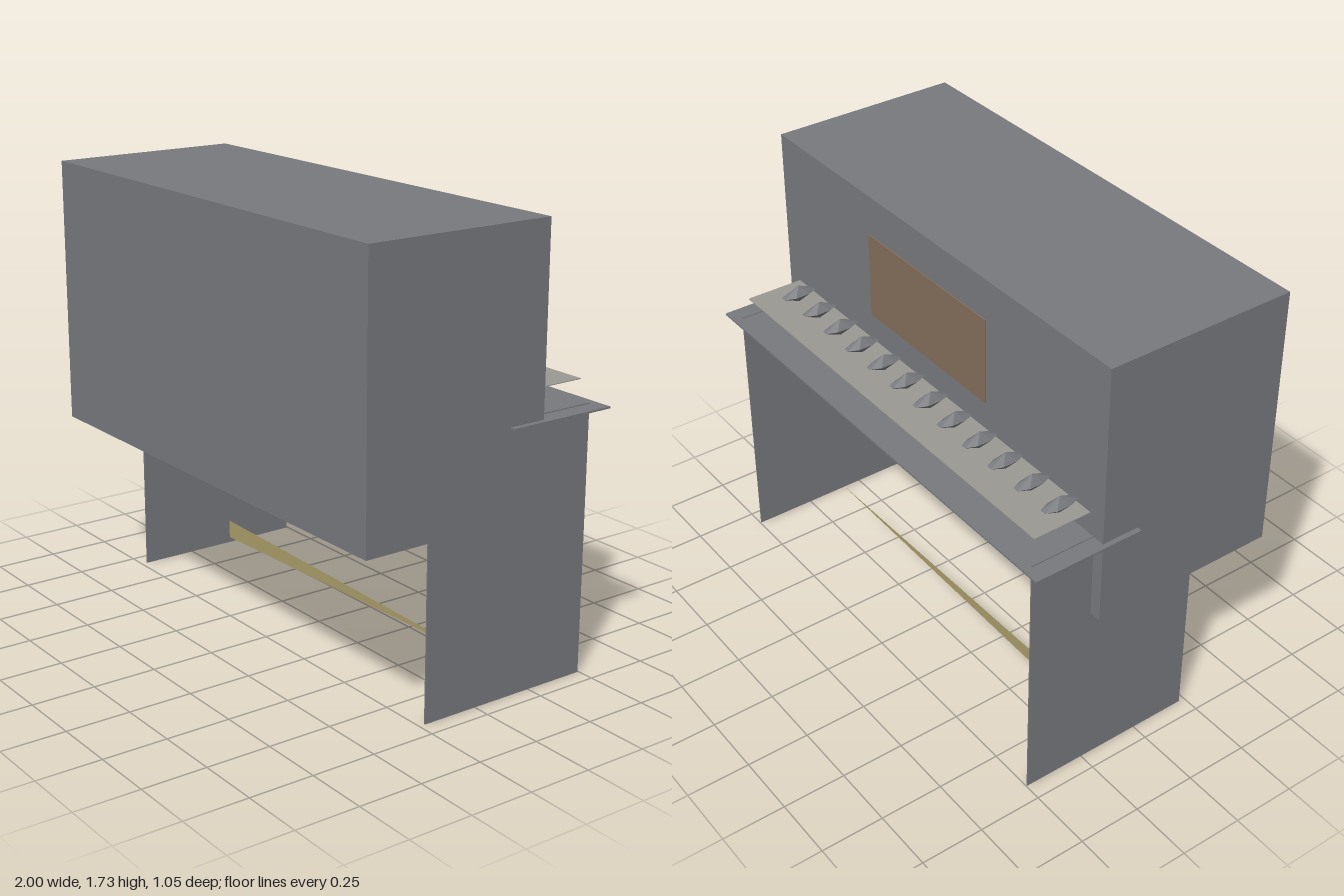
import * as THREE from 'three';

const mat = (color) => new THREE.MeshStandardMaterial({ color, flatShading: true, side: THREE.DoubleSide });

export function createModel() {
  const model = new THREE.Group();
  const body = mat(0x77797d), ivory = mat(0x9a9791), brass = mat(0xaa9c69), wood = mat(0x836f5a);

  const add = (name, geometry, material, parent = model) => {
    const mesh = new THREE.Mesh(geometry, material);
    mesh.name = name;
    parent.add(mesh);
    return mesh;
  };
  // Box given by its lower and upper limits on each axis
  const box = (name, material, [x0, x1], [y0, y1], [z0, z1]) => {
    const mesh = add(name, new THREE.BoxGeometry(x1 - x0, y1 - y0, z1 - z0), material);
    mesh.position.set((x0 + x1) / 2, (y0 + y1) / 2, (z0 + z1) / 2);
    return mesh;
  };

  // Upright cabinet
  box('cabinet', body, [-0.98, 0.98], [0.69, 1.73], [-0.235, 0.525]);

  // Side panels that carry the cabinet; their tops just break through the shelf
  for (const s of [-1, 1]) {
    box(s > 0 ? 'leftLeg' : 'rightLeg', body, [s * 0.929 - 0.003, s * 0.929 + 0.003], [0, 1.032], [-0.495, 0.225]);
  }

  // Key shelf, wider than the cabinet
  box('keyShelf', body, [-1, 1], [1.021, 1.028], [-0.53, -0.085]);

  // Pale key strip above the shelf
  box('keyStrip', ivory, [-0.91, 0.91], [1.117, 1.12], [-0.47, -0.236]);

  // Dark keys: elongated eight-sided double pyramids
  const keyGeometry = new THREE.SphereGeometry(1, 8, 2).rotateY(Math.PI / 8).scale(0.03, 0.035, 0.076);
  const keys = new THREE.Group();
  keys.name = 'keys';
  model.add(keys);
  for (let i = 0; i < 12; i++) {
    add('key', keyGeometry, body, keys).position.set(-0.85 + i * 0.148, 1.155, -0.32);
  }

  // Thin music panel standing just off the cabinet face
  box('musicPanel', wood, [-0.35, 0.36], [1.25, 1.59], [-0.256, -0.252]);

  // Stretcher between the legs, tapering to a point
  const taper = new THREE.Shape([
    new THREE.Vector2(-0.845, 0.06),
    new THREE.Vector2(0.84, 0.097),
    new THREE.Vector2(-0.845, 0.135),
  ]);
  add('stretcher', new THREE.ShapeGeometry(taper), brass).position.z = -0.14;

  return model;
}
